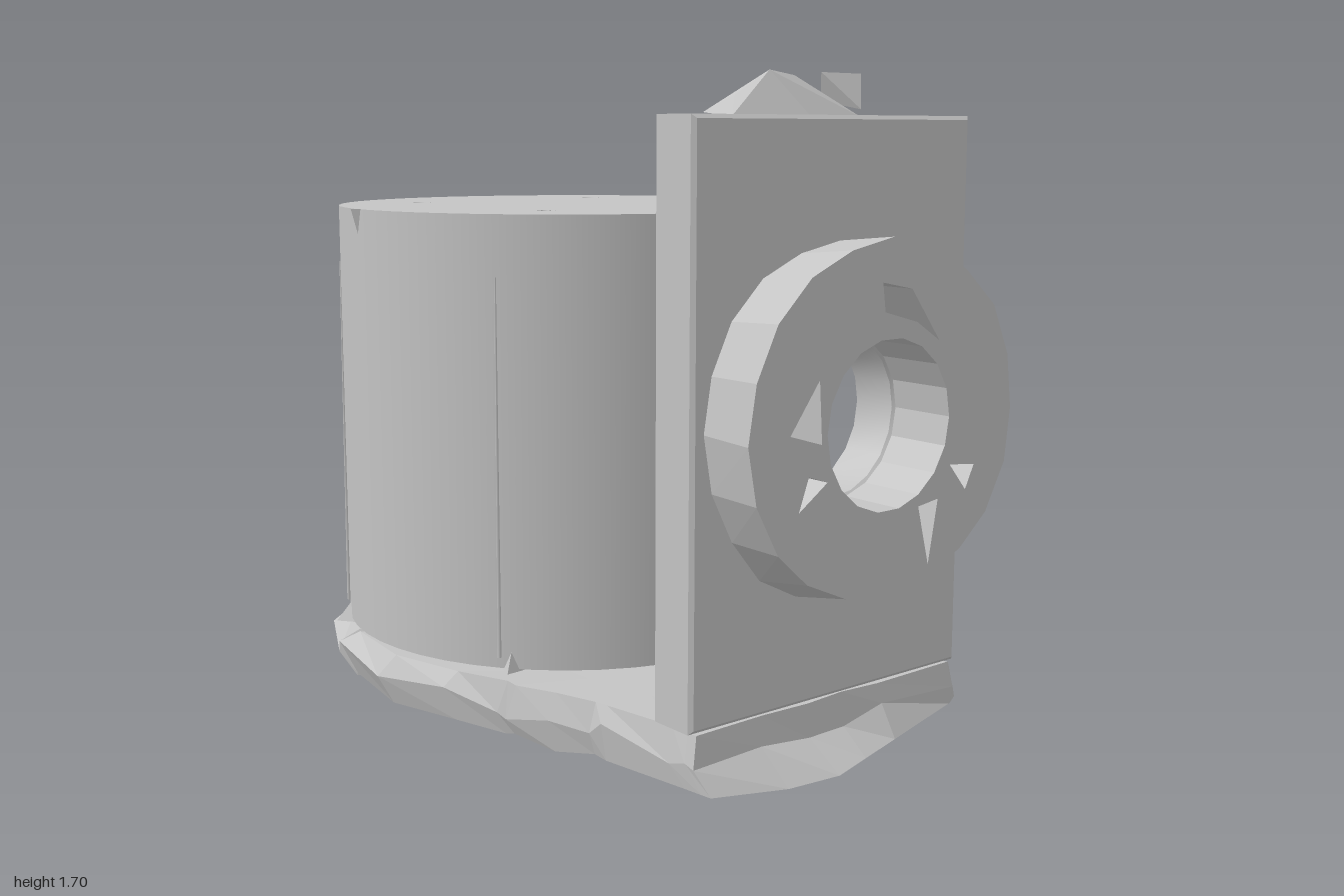
import * as THREE from 'three';
import { toCreasedNormals } from 'three/addons/utils/BufferGeometryUtils.js';
import { ConvexGeometry } from 'three/addons/geometries/ConvexGeometry.js';

const V = (x, y, z) => new THREE.Vector3(x, y, z);

// small seeded noise, -1..1
function makeNoise(seed) {
  let s = seed;
  return () => {
    s = (s * 16807) % 2147483647;
    return (s / 2147483647) * 2 - 1;
  };
}

function flat(geometry) {
  const g = geometry.index ? geometry.toNonIndexed() : geometry;
  g.computeVertexNormals();
  return g;
}

// distance from a centre along direction a to the edge of a closed outline of [x, z]
function castRay(outline, cz, a) {
  const dx = Math.sin(a), dz = Math.cos(a);
  let best = 0;
  outline.forEach(([x1, z1], i) => {
    const [x2, z2] = outline[(i + 1) % outline.length];
    const ex = x2 - x1, ez = z2 - z1, det = ex * dz - ez * dx;
    if (Math.abs(det) < 1e-9) return;
    const t = (ex * (z1 - cz) - ez * x1) / det;
    const u = (dx * (z1 - cz) - dz * x1) / det;
    if (t > 0 && u > -1e-6 && u < 1 + 1e-6) best = Math.max(best, t);
  });
  return best;
}

// keyhole base with a rectangular opening and a crumpled rim and underside
function baseGeometry() {
  const rnd = makeNoise(71);
  const cz = 0.56;
  const half = [[0.28, -0.95], [0.47, -0.82], [0.61, -0.65], [0.69, -0.47], [0.72, -0.2],
    [0.66, 0.04], [0.55, 0.36], [0.51, 0.48], [0.46, 0.82]];
  const outline = [[0.04, -1], ...half, ...half.map(([x, z]) => [-x, z]).reverse()];
  const opening = [[-0.2, 0.45], [0.19, 0.45], [0.19, 0.66], [-0.2, 0.66]];
  const angles = [...outline, ...opening].map(([x, z]) => Math.atan2(x, z - cz));
  for (let i = 0; i < 14; i++) angles.push(-3 + i * 0.45);
  angles.sort((a, b) => a - b);

  // cross-section: [share of the way out, height, roughness]
  const section = [[0, 0.165, 0], [0.5, 0.165, 0], [0.94, 0.165, 0.004], [1, 0.1, 0.035],
    [0.95, 0.035, 0.012], [0.82, 0.055, 0.02], [0.66, 0.065, 0.025], [0.5, 0.065, 0.025],
    [0.34, 0.06, 0.025], [0.18, 0.055, 0.02], [0, 0.06, 0]];
  const pos = [], idx = [], n = section.length;
  angles.forEach((a) => {
    const inner = castRay(opening, cz, a), outer = castRay(outline, cz, a);
    section.forEach(([t, y, rough]) => {
      const under = y < 0.08 && t > 0 && t < 0.9;
      const r = inner + (outer - inner) * (t + (under ? rnd() * 0.05 : 0));
      const x = r * Math.sin(a);
      let z = cz + r * Math.cos(a), h = y + rnd() * rough;
      // torn lower lip under the front edge
      if (y < 0.04 && z > 0.7) {
        z += 0.12 * (1 - Math.abs(x + 0.12) / 0.6);
        h = 0.004 + Math.abs(x + 0.15) * 0.08;
      } else if (y < 0.04 && z > 0.2) h -= 0.012;
      pos.push(x, h, z);
    });
  });
  for (let i = 0; i < angles.length; i++) {
    const p = i * n, q = ((i + 1) % angles.length) * n;
    for (let j = 0; j < n; j++) {
      const k = (j + 1) % n;
      idx.push(p + j, p + k, q + k, p + j, q + k, q + j);
    }
  }
  const g = new THREE.BufferGeometry();
  g.setAttribute('position', new THREE.Float32BufferAttribute(pos, 3));
  g.setIndex(idx);
  return flat(g);
}

function polygonPath(points) {
  return new THREE.Path(points.map(([x, y]) => new THREE.Vector2(x, y)));
}

export function createModel() {
  const model = new THREE.Group();
  const grey = new THREE.MeshStandardMaterial({ color: 0xc4c4c4, side: THREE.DoubleSide });
  grey.name = 'plain grey';
  const add = (name, geometry, parent = model) => {
    const mesh = new THREE.Mesh(geometry, grey);
    mesh.name = name;
    parent.add(mesh);
    return mesh;
  };

  add('basePlate', baseGeometry());

  // broad rough lumps spread over the underside
  const rnd = makeNoise(19);
  for (let i = 0; i < 40; i++) {
    const a = i * 2.4, r = 0.55 * Math.sqrt((i + 0.5) / 40);
    const lump = add('undersideLump', flat(new THREE.OctahedronGeometry(0.1 + rnd() * 0.03)));
    lump.scale.y = 0.3;
    lump.rotation.set(rnd() * 0.25, rnd() * 3, rnd() * 0.25);
    lump.position.set(Math.sin(a) * r, 0.072 + rnd() * 0.008, -0.25 + Math.cos(a) * r);
  }

  // drum: smooth wall, lid with four screw pits, closed bottom
  const drum = new THREE.Group();
  drum.name = 'drum';
  drum.position.set(-0.005, 0, -0.27);
  model.add(drum);
  const R = 0.667, top = 1.36, bottom = 0.17;
  add('drumWall', new THREE.CylinderGeometry(R, R - 0.004, top - bottom, 48, 1, true), drum)
    .position.y = (top + bottom) / 2;
  const lid = new THREE.Shape().absarc(0, 0, R, 0, Math.PI * 2);
  for (const x of [-0.31, 0.31]) for (const z of [-0.32, 0.31]) {
    lid.holes.push(new THREE.Path().absarc(x, -z, 0.026, 0, Math.PI * 2, true));
    const pit = add('screwPit', new THREE.ConeGeometry(0.026, 0.05, 8, 1, true), drum);
    pit.rotation.x = Math.PI;
    pit.position.set(x, top - 0.025, z);
  }
  add('drumLid', new THREE.ShapeGeometry(lid, 24).rotateX(-Math.PI / 2), drum).position.y = top;
  add('drumBottom', new THREE.CircleGeometry(R - 0.004, 48).rotateX(Math.PI / 2), drum)
    .position.y = bottom;

  // slender seams down the wall: [angle from front, top height]
  [[0.99, 1.25], [1.83, 1.19], [2.02, 1.23], [-0.93, 1.2], [-2.1, 1.2]].forEach(([a, h]) => {
    const seam = add('wallSeam', new THREE.CylinderGeometry(0.003, 0.006, h - 0.2, 4), drum);
    seam.position.set(Math.sin(a) * R, (h + 0.2) / 2, Math.cos(a) * R);
  });
  // chipped feet around the lower edge, and torn lips at the upper edge
  [0.95, 2.05, 3.6, 4.3, 5.4].forEach((a) => {
    const chip = add('lowerChip', flat(new THREE.ConeGeometry(0.055, 0.07, 3)), drum);
    chip.position.set(Math.sin(a) * 0.65, 0.195, Math.cos(a) * 0.65);
    chip.rotation.y = a;
  });
  [1.75, 4.6].forEach((a) => {
    const lip = add('upperLip', flat(new THREE.ConeGeometry(0.045, 0.16, 4)), drum);
    lip.position.set(Math.sin(a) * 0.64, top - 0.08, Math.cos(a) * 0.64);
    lip.rotation.set(Math.PI, -a, 0);
  });

  // upright front plate with a round opening
  const cx = -0.005, cy = 0.88;
  const plate = new THREE.Shape([[-0.46, 0.18], [0.445, 0.18], [0.445, 1.595], [-0.46, 1.595]]
    .map(([x, y]) => new THREE.Vector2(x, y)));
  plate.holes.push(new THREE.Path().absarc(cx, cy, 0.215, 0, Math.PI * 2, true));
  add('frontPlate', toCreasedNormals(new THREE.ExtrudeGeometry(plate, {
    depth: 0.12, bevelEnabled: true, bevelThickness: 0.01, bevelSize: 0.01, bevelSegments: 1,
    curveSegments: 10,
  }), 0.5)).position.z = 0.69;

  // faceted ring with torn pits on its face
  const rim = [];
  for (let i = 0; i < 20; i++) {
    const a = (i / 20) * Math.PI * 2, r = 0.445 + rnd() * 0.008;
    rim.push(new THREE.Vector2(cx + Math.cos(a) * r, cy + Math.sin(a) * r));
  }
  const ring = new THREE.Shape(rim);
  ring.holes.push(new THREE.Path().absarc(cx, cy, 0.208, 0, Math.PI * 2, true));
  [
    [[-0.04, 1.22], [0.06, 1.2], [0.16, 1.07], [0.08, 1.12], [-0.03, 1.15]],
    [[-0.24, 1.01], [-0.23, 0.86], [-0.33, 0.89]],
    [[-0.3, 0.71], [-0.27, 0.79], [-0.21, 0.77]],
    [[0.1, 0.67], [0.17, 0.68], [0.14, 0.52]],
    [[0.21, 0.76], [0.3, 0.75], [0.27, 0.69]],
  ].forEach((points) => ring.holes.push(polygonPath(points)));
  const ringGeo = new THREE.ExtrudeGeometry(ring, { depth: 0.175, bevelEnabled: false, curveSegments: 9 });
  // the rim narrows toward the plate, and is worn back at the bottom of the face
  const rp = ringGeo.attributes.position;
  for (let i = 0; i < rp.count; i++) {
    const x = rp.getX(i) - cx, y = rp.getY(i) - cy;
    if (Math.hypot(x, y) < 0.42) continue;
    if (rp.getZ(i) < 0.05) rp.setXY(i, cx + x * 0.95, cy + y * (y > 0 ? 0.96 : 1.02));
    else if (y < -0.34) rp.setY(i, cy + y * 0.94);
  }
  add('ring', flat(ringGeo)).position.z = 0.82;

  // torn ridge and splinter on the top edge of the plate
  add('topRidge', flat(new ConvexGeometry([
    V(-0.34, 1.6, 0.8), V(-0.34, 1.61, 0.7), V(-0.27, 1.65, 0.73), V(-0.16, 1.71, 0.73),
    V(-0.05, 1.7, 0.7), V(0.14, 1.61, 0.68), V(0.1, 1.6, 0.78), V(-0.1, 1.6, 0.81),
  ])));
  add('topSplinter', flat(new ConvexGeometry([
    V(0.05, 1.71, 0.69), V(0.21, 1.71, 0.67), V(0.14, 1.62, 0.74), V(0.05, 1.64, 0.69),
  ])));

  // torn flakes on the back of the plate, around the opening
  [[-0.2, 1.12, 0.5], [0.18, 1.14, 2], [0.2, 0.66, 3], [-0.18, 0.64, 4]].forEach(([x, y, turn]) => {
    const flake = add('backFlake', flat(new THREE.ConeGeometry(0.06, 0.02, 5)));
    flake.position.set(x, y, 0.672);
    flake.rotation.set(-Math.PI / 2, turn, 0);
  });

  return model;
}
